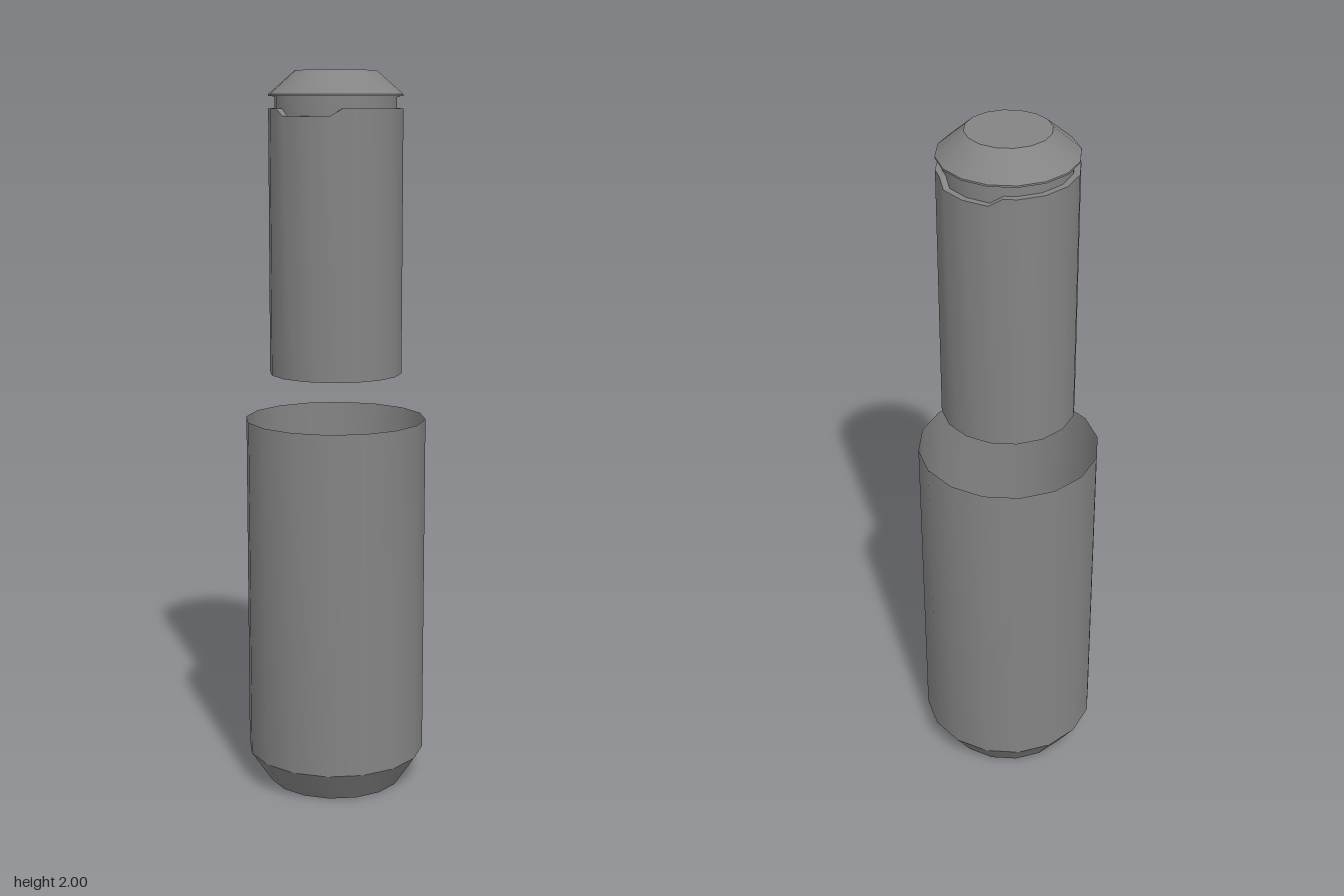
import * as THREE from 'three';
import { toCreasedNormals } from 'three/addons/utils/BufferGeometryUtils.js';

const SIDES = 16;
const material = new THREE.MeshStandardMaterial({ color: 0x848484, side: THREE.DoubleSide });

// Revolved [radius, height] profile, running up the outside
function turned(profile, sides = SIDES) {
  return new THREE.LatheGeometry(profile.map(([r, y]) => new THREE.Vector2(r, y)), sides);
}

function part(name, geometry) {
  const mesh = new THREE.Mesh(toCreasedNormals(geometry, 0.55), material);
  mesh.name = name;
  return mesh;
}

// Sixteen-sided sleeve with midpoints on each side, its rim dipping at front and back
function notchedSleeve() {
  const geometry = turned([[0.183, 1.18], [0.183, 1.9], [0.166, 1.9]], SIDES * 2);
  const p = geometry.attributes.position;
  const step = Math.PI / SIDES;
  for (let i = 0; i < p.count; i++) {
    const k = Math.round(Math.atan2(p.getX(i), p.getZ(i)) / step);
    const flat = k % 2 ? Math.cos(step) : 1;
    const fromFront = Math.min(Math.abs(k), SIDES - Math.abs(k));
    const dip = p.getY(i) > 1.5 && fromFront <= 2 ? 0.02 : 0;
    p.setXYZ(i, p.getX(i) * flat, p.getY(i) - dip, p.getZ(i) * flat);
  }
  return geometry;
}

export function createModel() {
  const group = new THREE.Group();
  group.name = 'plunger';

  // Open-topped lower shell with a chamfered foot and a recess underneath
  group.add(part('lowerShell', turned([
    [0, 0.12], [0.15, 0.12], [0.15, 0], [0.19, 0], [0.251, 0.09], [0.251, 1.052],
  ])));

  // Upper sleeve, open at the bottom
  group.add(part('upperSleeve', notchedSleeve()));

  // Narrow neck and bevelled cap
  group.add(part('neckAndCap', turned([
    [0.166, 1.875], [0.166, 1.932], [0.183, 1.932], [0.183, 1.937], [0.111, 2], [0, 2],
  ])));

  return group;
}
